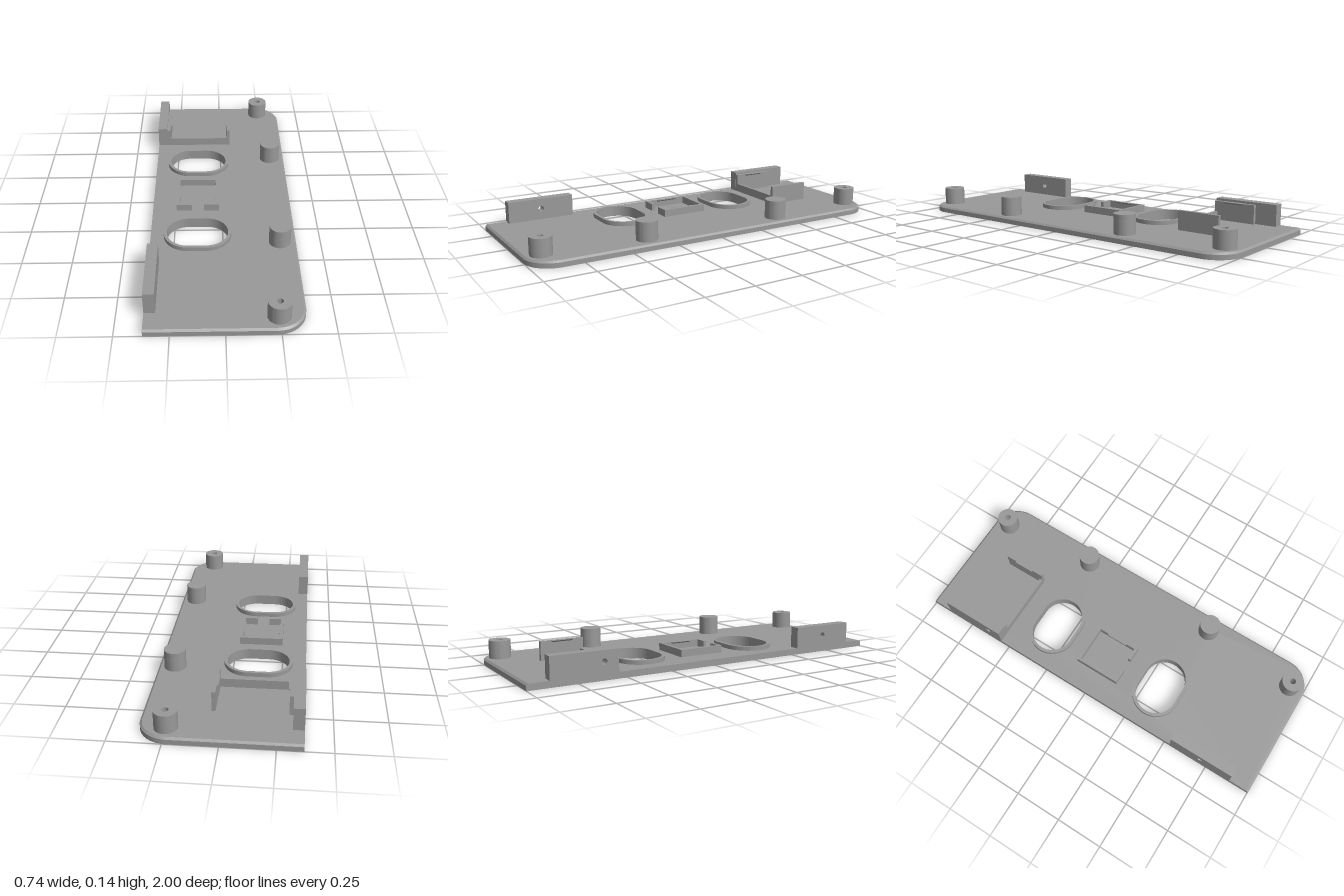
import * as THREE from 'three';
import { toCreasedNormals } from 'three/addons/utils/BufferGeometryUtils.js';

const W = 0.37, L = 1, R = 0.14, TOP = 0.033, EDGE = 0.024;
const HOLE_X = -0.13, HOLE_Z = 0.332, PEG_X = 0.287, PEG_Z = 0.39;

export function createModel() {
  const model = new THREE.Group();
  const grey = new THREE.MeshStandardMaterial({ color: 0x999999 });
  grey.name = 'plastic grey';

  function add(name, geometry) {
    const mesh = new THREE.Mesh(geometry, grey);
    mesh.name = name;
    model.add(mesh);
    return mesh;
  }
  function box(name, x0, x1, y0, y1, z0, z1) {
    const g = new THREE.BoxGeometry(x1 - x0, y1 - y0, z1 - z0);
    add(name, g.translate((x0 + x1) / 2, (y0 + y1) / 2, (z0 + z1) / 2));
  }
  // extrude a plan shape (x, -z) upwards from y0 to y1
  function extrudeUp(shape, y0, y1) {
    const g = new THREE.ExtrudeGeometry(shape, { depth: y1 - y0, bevelEnabled: false, curveSegments: 20 });
    return g.rotateX(-Math.PI / 2).translate(0, y0, 0);
  }
  const smooth = (g) => toCreasedNormals(g, 0.5);

  // slot outline with fully rounded ends along x
  function slot(Type, cx, cy, halfX, r) {
    const s = new Type(), d = halfX - r;
    s.moveTo(cx - d, cy - r);
    s.lineTo(cx + d, cy - r);
    s.absarc(cx + d, cy, r, -Math.PI / 2, Math.PI / 2, false);
    s.lineTo(cx - d, cy + r);
    s.absarc(cx - d, cy, r, Math.PI / 2, Math.PI * 1.5, false);
    return s;
  }
  function circle(Type, x, y, r) {
    const c = new Type();
    c.absarc(x, y, r, 0, Math.PI * 2, false);
    return c;
  }

  // base plate: square on the left edge, rounded on the right, with two slots
  function plateShape() {
    const s = new THREE.Shape();
    s.moveTo(-W, -L);
    s.lineTo(W - R, -L);
    s.absarc(W - R, -L + R, R, -Math.PI / 2, 0, false);
    s.lineTo(W, L - R);
    s.absarc(W - R, L - R, R, 0, Math.PI / 2, false);
    s.lineTo(-W, L);
    for (const k of [-1, 1]) {
      s.holes.push(slot(THREE.Path, HOLE_X, k * HOLE_Z, 0.157, 0.11));
      s.holes.push(circle(THREE.Path, PEG_X, k * PEG_Z, 0.012));
    }
    return s;
  }
  add('basePlate', smooth(extrudeUp(plateShape(), 0, EDGE)));

  // bevelled top layer: pull the upper outline inwards
  const bevel = extrudeUp(plateShape(), EDGE, TOP);
  const p = bevel.attributes.position;
  for (let i = 0; i < p.count; i++) {
    if (p.getY(i) < TOP - 0.001) continue;
    const x = p.getX(i), z = p.getZ(i);
    const cx = Math.min(x, W - R), cz = THREE.MathUtils.clamp(z, -L + R, L - R);
    if (Math.hypot(x - cx, z - cz) < R - 0.003) continue;
    const k = (R - 0.01) / R;
    p.setX(i, cx + (x - cx) * k);
    p.setZ(i, cz + (z - cz) * k);
  }
  add('bevelledTop', smooth(bevel));

  // raised rims, posts and pegs, mirrored front to back
  for (const k of [-1, 1]) {
    const rim = slot(THREE.Shape, HOLE_X, k * HOLE_Z, 0.173, 0.126);
    rim.holes.push(slot(THREE.Path, HOLE_X, k * HOLE_Z, 0.157, 0.11));
    add('slotRim', smooth(extrudeUp(rim, TOP, 0.055)));

    const post = circle(THREE.Shape, 0.243, k * 0.917, 0.055);
    post.holes.push(circle(THREE.Path, 0.243, k * 0.917, 0.016));
    add('screwPost', smooth(extrudeUp(post, TOP, 0.125)));

    // peg with a blind hole from below
    const peg = circle(THREE.Shape, PEG_X, k * PEG_Z, 0.055);
    peg.holes.push(circle(THREE.Path, PEG_X, k * PEG_Z, 0.012));
    add('pegBody', smooth(extrudeUp(peg, TOP, 0.11)));
    add('pegCap', smooth(extrudeUp(circle(THREE.Shape, PEG_X, k * PEG_Z, 0.055), 0.11, 0.134)));
  }

  // upright edge walls with a cross hole
  function edgeWall(z0, z1, holeZ) {
    const s = new THREE.Shape();
    s.moveTo(-z1, TOP);
    s.lineTo(-z0, TOP);
    s.lineTo(-z0, 0.145);
    s.lineTo(-z1, 0.145);
    s.holes.push(circle(THREE.Path, -holeZ, 0.09, 0.015));
    const g = new THREE.ExtrudeGeometry(s, { depth: 0.053, bevelEnabled: false, curveSegments: 16 });
    add('edgeWall', smooth(g.rotateY(Math.PI / 2).translate(-W, 0, 0)));
  }
  edgeWall(0.532, 0.888, 0.71);
  edgeWall(-0.89, -0.545, -0.62);

  // small triangular catch on the inner face of a wall; dir is its x direction
  function catchRib(name, x, dir, y, size, z0, z1) {
    const pts = [[0, y], [0, y - size], [dir * size * 0.8, y - size * 0.25], [dir * size * 0.8, y]];
    const s = new THREE.Shape(pts.map(([dx, py]) => new THREE.Vector2(x + dx, py)));
    const g = new THREE.ExtrudeGeometry(s, { depth: z1 - z0, bevelEnabled: false });
    add(name, g.translate(0, 0, z0));
  }

  // U-shaped cradle
  box('cradleLeftWall', -0.317, -0.298, TOP, 0.133, -0.775, -0.546);
  box('cradleRightWall', 0.039, 0.057, TOP, 0.133, -0.775, -0.546);
  box('cradleFrontWall', -0.298, 0.039, TOP, 0.078, -0.563, -0.546);
  catchRib('cradleCatch', -0.298, 1, 0.133, 0.009, -0.715, -0.605);
  catchRib('cradleCatch', 0.039, -1, 0.133, 0.009, -0.715, -0.605);

  // square socket with a notch in its front wall
  const H = 0.071;
  box('socketWall', -0.243, -0.227, TOP, H, -0.127, 0.122);
  box('socketWall', -0.032, -0.016, TOP, H, -0.127, 0.122);
  box('socketBackWall', -0.227, -0.032, TOP, H, -0.127, -0.111);
  box('socketFrontWall', -0.227, -0.163, TOP, H, 0.105, 0.122);
  box('socketFrontWall', -0.096, -0.032, TOP, H, 0.105, 0.122);
  catchRib('socketCatch', -0.227, 1, H, 0.009, -0.06, 0.055);
  catchRib('socketCatch', -0.032, -1, H, 0.009, -0.06, 0.055);

  return model;
}
